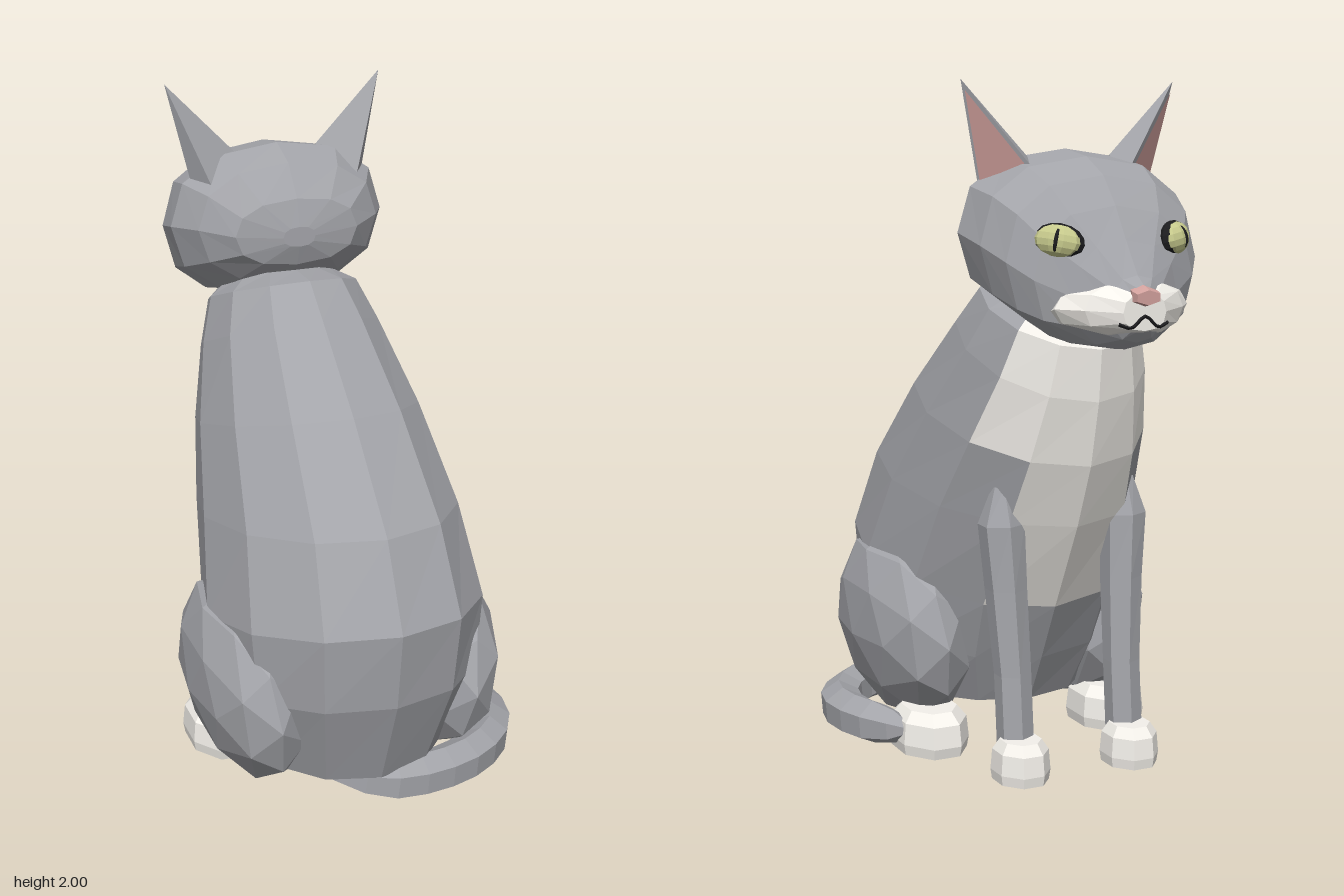
import * as THREE from 'three';

const mat = (color, side = THREE.FrontSide) =>
  new THREE.MeshStandardMaterial({ color, flatShading: true, side });
const grey = mat(0xa3a4a9), white = mat(0xf4f1eb), pink = mat(0xd0a09c, THREE.DoubleSide);
const earGrey = mat(0xa3a4a9, THREE.DoubleSide);
const eyeGreen = mat(0xc6c98c), dark = mat(0x1c1c1e);

const pow = (v, p) => Math.sign(v) * Math.abs(v) ** p;
const V = (x, y, z) => new THREE.Vector3(x, y, z);

function add(parent, name, geometry, material) {
  const m = new THREE.Mesh(geometry, material);
  m.name = name;
  parent.add(m);
  return m;
}

// Closed ring from point a to the opposite point b (z, y), half width hw; p < 1 squares it off.
function ring(cx, [az, ay], [bz, by], hw, n, dir = 1, p = 1) {
  return Array.from({ length: n }, (_, j) => {
    const t = (j / n) * Math.PI * 2, c = pow(Math.cos(t), p), s = pow(Math.sin(t), p);
    return V(cx + dir * hw * s, (ay + by) / 2 + c * (ay - by) / 2, (az + bz) / 2 + c * (az - bz) / 2);
  });
}

// Skin between rings, end caps included; keep(i, j) selects the faces.
function loft(rings, keep = () => true) {
  const mid = (r) => r.map(() => r.reduce((s, v) => s.add(v), V(0, 0, 0)).divideScalar(r.length));
  const rows = [mid(rings[0]), ...rings, mid(rings[rings.length - 1])];
  const n = rings[0].length, pts = [];
  for (let i = 0; i < rows.length - 1; i++) for (let j = 0; j < n; j++) {
    if (!keep(i, j)) continue;
    const k = (j + 1) % n;
    const a = rows[i][j], b = rows[i][k], c = rows[i + 1][j], d = rows[i + 1][k];
    if (i > 0) pts.push(a, c, b);
    if (i < rows.length - 2) pts.push(b, c, d);
  }
  return surface(pts);
}

function surface(points) {
  const g = new THREE.BufferGeometry().setFromPoints(points);
  g.computeVertexNormals();
  return g;
}

function addBody(cat) {
  // back point, chest point (z, y), half width
  const rings = [
    [[-0.1, 1.46], [-0.44, 1.36], 0.15],
    [[0.02, 1.46], [-0.5, 1.26], 0.225],
    [[0.13, 1.37], [-0.485, 1.11], 0.27],
    [[0.38, 1.16], [-0.44, 0.92], 0.33],
    [[0.64, 0.9], [-0.36, 0.73], 0.375],
    [[0.76, 0.66], [-0.22, 0.46], 0.41],
    [[0.73, 0.42], [-0.13, 0.28], 0.39],
    [[0.62, 0.13], [-0.05, 0.13], 0.31],
  ].map(([a, b, w]) => ring(0, a, b, w, 12));
  const bib = (i, j) => i <= 3 ? j >= 4 && j <= 7 : i <= 5 && (j === 5 || j === 6);
  add(cat, 'body', loft(rings, (i, j) => !bib(i, j)), grey);
  add(cat, 'chestBib', loft(rings, bib), white);
}

function addHead(cat) {
  const head = new THREE.Group();
  head.name = 'head';
  cat.add(head);
  // z, top, bottom, half width
  const section = ([z, top, bottom, w]) => ring(0, [z, top], [z, bottom], w, 12, -1, 0.85);
  add(head, 'skull', loft([
    [-0.068, 1.6, 1.54, 0.05], [-0.09, 1.68, 1.48, 0.19], [-0.165, 1.77, 1.41, 0.28],
    [-0.27, 1.81, 1.35, 0.335], [-0.4, 1.79, 1.31, 0.325], [-0.5, 1.74, 1.28, 0.295],
    [-0.57, 1.66, 1.27, 0.245], [-0.63, 1.57, 1.275, 0.16], [-0.695, 1.48, 1.3, 0.08],
    [-0.73, 1.455, 1.34, 0.035],
  ].map(section)), grey);
  add(head, 'muzzle', loft([
    [-0.5, 1.4, 1.32, 0.2], [-0.61, 1.46, 1.32, 0.205],
    [-0.68, 1.465, 1.315, 0.15], [-0.737, 1.435, 1.335, 0.065],
  ].map(section)), white);
  add(head, 'nose', loft([
    [-0.7, 1.465, 1.4, 0.035], [-0.735, 1.455, 1.4, 0.045], [-0.758, 1.445, 1.405, 0.04],
  ].map(([z, t, b, w]) => ring(0, [z, t], [z, b], w, 6, -1))), pink);

  // Mouth line
  const mouth = new THREE.CatmullRomCurve3([
    V(-0.075, 1.355, -0.728), V(-0.04, 1.345, -0.737), V(0, 1.375, -0.739),
    V(0.04, 1.345, -0.737), V(0.075, 1.355, -0.728)]);
  add(head, 'mouth', new THREE.TubeGeometry(mouth, 12, 0.005, 4), dark);

  for (const s of [-1, 1]) {
    // Eye: dark rim, iris and slit pupil
    const eye = new THREE.Group();
    eye.name = s > 0 ? 'leftEye' : 'rightEye';
    eye.position.set(s * 0.177, 1.568, -0.577);
    eye.lookAt(s * 0.73, 1.72, -1.33);
    eye.rotateZ(s * -0.15);
    const ball = (name, m, x, y, z, dz) => {
      const b = add(eye, name, new THREE.SphereGeometry(1, 10, 8), m);
      b.scale.set(x, y, z);
      b.position.z = dz;
    };
    ball('eyeRim', dark, 0.073, 0.049, 0.03, 0);
    ball('iris', eyeGreen, 0.068, 0.045, 0.038, 0.004);
    ball('pupil', dark, 0.012, 0.04, 0.038, 0.008);
    head.add(eye);

    // Ear: pyramid opening outward and forward, with a pink inner face
    const P = (x, y, z) => V(s * x, y, z);
    const tip = P(0.335, 2, -0.295), front = P(0.155, 1.76, -0.375), inner = P(0.13, 1.79, -0.29),
      back = P(0.22, 1.69, -0.185), outer = P(0.268, 1.7, -0.265);
    const shell = [[front, inner], [inner, back], [back, outer], [outer, front]]
      .flatMap(([a, b]) => s > 0 ? [a, tip, b] : [a, b, tip]);
    add(head, 'ear', surface(shell), earGrey);
    const centre = front.clone().add(outer).add(tip).divideScalar(3);
    const lining = [outer, tip, front].map((v) => v.clone().lerp(centre, 0.17)
      .add(P(0.004, 0, -0.004)));
    add(head, 'earLining', surface(s > 0 ? lining : lining.reverse()), pink);
  }
}

// Flat-soled paw
function addPaw(cat, name, x, z, w, h, d) {
  const profile = [[0, 0], [0.95, 0], [1, 0.25], [0.94, 0.75], [0.7, 1], [0, 1]]
    .map(([r, y]) => new THREE.Vector2(r, y));
  const paw = add(cat, name, new THREE.LatheGeometry(profile, 8, Math.PI / 8), white);
  paw.scale.set(w, h, d);
  paw.position.set(x, 0, z);
}

function addLegs(cat) {
  for (const s of [-1, 1]) {
    // y, back z, front z, half width, x
    add(cat, 'frontLeg', loft([
      [0.85, -0.25, -0.29, 0.03, 0.2], [0.74, -0.205, -0.33, 0.07, 0.2],
      [0.55, -0.215, -0.34, 0.062, 0.19], [0.3, -0.25, -0.355, 0.055, 0.18],
      [0.08, -0.27, -0.375, 0.055, 0.18],
    ].map(([y, zb, zf, w, x]) => ring(s * x, [zb, y], [zf, y], w, 6))), grey);
    addPaw(cat, 'frontPaw', s * 0.18, -0.355, 0.085, 0.12, 0.1);
    addPaw(cat, 'hindPaw', s * 0.305, 0.03, 0.115, 0.13, 0.16);

    // Folded thigh
    const thigh = add(cat, 'haunch', new THREE.IcosahedronGeometry(1, 1), grey);
    thigh.scale.set(0.17, 0.3, 0.37);
    thigh.position.set(s * 0.3, 0.335, 0.25);
    thigh.rotation.z = -s * 0.12;
  }
}

// Tail curled round the left side, pointed at its root and blunt at its end
function addTail(cat) {
  const path = new THREE.CatmullRomCurve3([
    V(-0.18, 0.125, 0.5), V(0.06, 0.09, 0.575), V(0.3, 0.077, 0.53), V(0.45, 0.07, 0.4),
    V(0.49, 0.07, 0.26), V(0.455, 0.07, 0.11), V(0.37, 0.072, -0.035)]);
  const segs = 14, sides = 6;
  const g = new THREE.TubeGeometry(path, segs, 0.068, sides);
  const pos = g.attributes.position, v = V(0, 0, 0);
  for (let i = 0; i < pos.count; i++) {
    const t = Math.floor(i / (sides + 1)) / segs, c = path.getPointAt(t);
    const k = Math.min(1, t / 0.18, Math.sqrt((1 - t) * 8));
    v.fromBufferAttribute(pos, i).sub(c).multiplyScalar(k).add(c);
    pos.setXYZ(i, v.x, v.y, v.z);
  }
  add(cat, 'tail', g, grey);
}

export function createModel() {
  const cat = new THREE.Group();
  cat.name = 'sittingCat';
  addBody(cat);
  addHead(cat);
  addLegs(cat);
  addTail(cat);
  cat.position.x = -0.045;
  const root = new THREE.Group();
  root.add(cat);
  return root;
}
